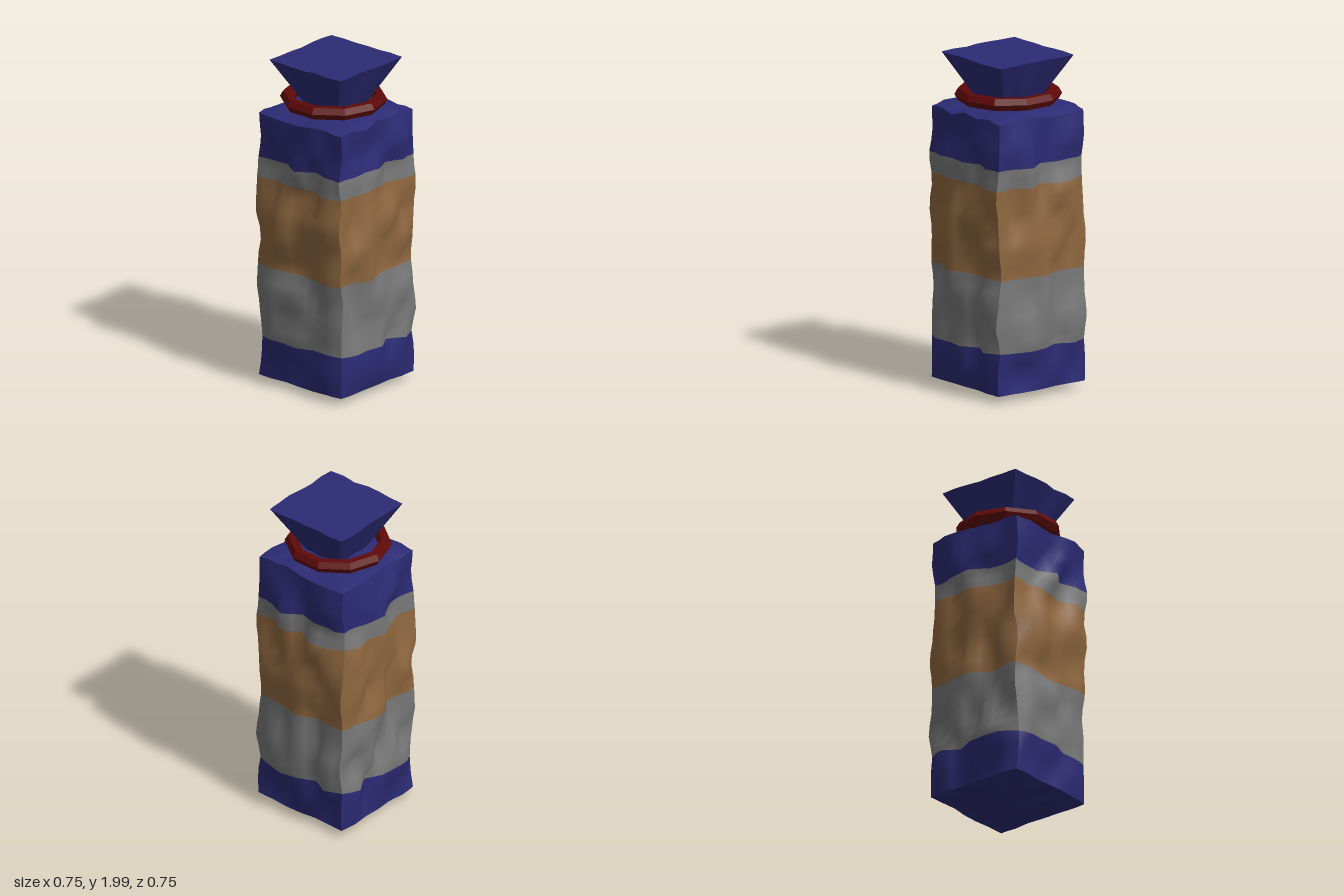
import * as THREE from 'three';

const mat = (name, color) =>
  Object.assign(new THREE.MeshStandardMaterial({ color }), { name });

// repeatable lattice value in 0..1, and smooth noise made from it
function hash(i, j, k) {
  const s = Math.sin(i * 127.1 + j * 311.7 + k * 74.7) * 43758.5453;
  return s - Math.floor(s);
}
function noise(x, y, k) {
  const i = Math.floor(x), j = Math.floor(y);
  const s = (t) => t * t * (3 - 2 * t);
  const fx = s(x - i), fy = s(y - j);
  const lerp = THREE.MathUtils.lerp;
  return lerp(
    lerp(hash(i, j, k), hash(i + 1, j, k), fx),
    lerp(hash(i, j + 1, k), hash(i + 1, j + 1, k), fx), fy);
}

const COLS = 12;

// smooth grid: point(t, row) with t from -1 to 1; rowMaterial picks a material per row
function sheet(rows, point, rowMaterial = () => 0) {
  const pos = [], index = [], geo = new THREE.BufferGeometry();
  for (let r = 0; r <= rows; r++)
    for (let c = 0; c <= COLS; c++) pos.push(...point((c / COLS) * 2 - 1, r));
  for (let r = 0; r < rows; r++) {
    geo.addGroup(index.length, COLS * 6, rowMaterial(r));
    for (let c = 0; c < COLS; c++) {
      const a = r * (COLS + 1) + c, b = a + COLS + 1;
      index.push(a, a + 1, b + 1, a, b + 1, b);
    }
  }
  geo.setAttribute('position', new THREE.Float32BufferAttribute(pos, 3));
  geo.setIndex(index);
  geo.computeVertexNormals();
  return geo;
}

export function createModel() {
  const navy = mat('navy wrapper', 0x2c2b75);
  const grey = mat('grey band', 0x787878);
  const brown = mat('brown band', 0x906840);
  const red = mat('red tie', 0x600909);

  const bag = new THREE.Group();
  bag.name = 'tiedBag';
  const HALF = 0.315, BOTTOM = 0.055, TOP = 1.675;

  // row heights, with rows landing exactly on the colour borders
  const bands = [[0.305, 3, 0], [0.74, 6, 1], [1.28, 7, 2], [1.4, 2, 1], [TOP, 4, 0]];
  const heights = [BOTTOM], rowColours = [];
  for (const [end, n, colour] of bands) {
    const start = heights[heights.length - 1];
    for (let i = 1; i <= n; i++) {
      heights.push(start + ((end - start) * i) / n);
      rowColours.push(colour);
    }
  }

  // crumpled wall: each face pushes in and out and carries one of its corners along
  function wall(t, y, k) {
    const s = (y - BOTTOM) / (TOP - BOTTOM);
    const ends = 0.3 + 0.7 * Math.min(1, 8 * s, 8 * (1 - s));
    const flat = 1 - t ** 6;
    const bump = (noise(t * 2.9 + 9, y * 6.5, k) * 0.095 - 0.03) * flat * ends;
    const corner = t < 0 ? k : (k + 1) % 4;
    const push = (noise(corner * 5, y * 6.5, 60) - 0.5) * 0.06 * t ** 6 * ends;
    const edge = s > 0.999 ? (noise(t * 3 + 5, 0, k + 20) - 0.4) * 0.035 * flat : 0;
    return [t * HALF - (t < 0 ? push : 0), y + edge, HALF + bump + (t > 0 ? push : 0)];
  }

  // flaring neck surface, s from 0 at the tie to 1 at the rim
  function neck(t, s, k) {
    const half = 0.122 + 0.15 * s;
    const wave = (noise(t * 3 + 4, s * 0.8, k + 40) - 0.4) * 0.022 * (1 - t ** 4);
    return [t * half, 1.715 + 0.285 * s, half + wave];
  }

  const blend = (p, q, f) => p.map((v, i) => v + (q[i] - v) * f);

  for (let k = 0; k < 4; k++) {
    const side = new THREE.Group();
    side.name = 'bagSide' + (k + 1);
    side.rotation.y = (k * Math.PI) / 2;
    const add = (name, geo, material) => {
      const mesh = new THREE.Mesh(geo, material);
      mesh.name = name;
      side.add(mesh);
    };

    // banded wall
    add('wall', sheet(heights.length - 1,
      (t, r) => wall(t, heights[r], k), (r) => rowColours[r]), [navy, grey, brown]);

    // shoulder from the wall's top edge in to the neck, rising early
    add('shoulder', sheet(3, (t, r) => {
      const p = blend(wall(t, TOP, k), neck(t, 0, k), r / 3);
      p[1] += r === 1 ? 0.012 : 0;
      return p;
    }), navy);

    // neck and its flat top
    add('neck', sheet(4, (t, r) => neck(t, r / 4, k)), navy);
    add('neckTop', sheet(1, (t, r) => (r ? [0, 2, 0] : neck(t, 1, k))), navy);

    // sagging, crumpled underside
    add('underside', sheet(5, (t, r) => {
      const f = r / 5;
      const p = blend([0, BOTTOM, 0], wall(t, BOTTOM, k), f);
      const crumple = (noise(t * 2.5 + 7, f * 3, k + 80) - 0.5) * 0.1;
      p[1] -= 0.045 * (1 - f * f) + crumple * (1 - t ** 4) * f * (1 - f);
      return p;
    }), navy);

    bag.add(side);
  }
  bag.position.set(0.012, 0, -0.011);

  // ten-sided tie around the neck
  const ringGeo = new THREE.TorusGeometry(0.272, 0.041, 6, 10).toNonIndexed();
  ringGeo.rotateX(Math.PI / 2);
  ringGeo.rotateY(Math.PI / 10);
  ringGeo.computeVertexNormals();
  const tie = new THREE.Mesh(ringGeo, red);
  tie.name = 'neckTie';
  tie.position.set(-0.007, 1.757, -0.01);
  bag.add(tie);

  const model = new THREE.Group();
  model.name = 'breadBag';
  model.add(bag);
  return model;
}
